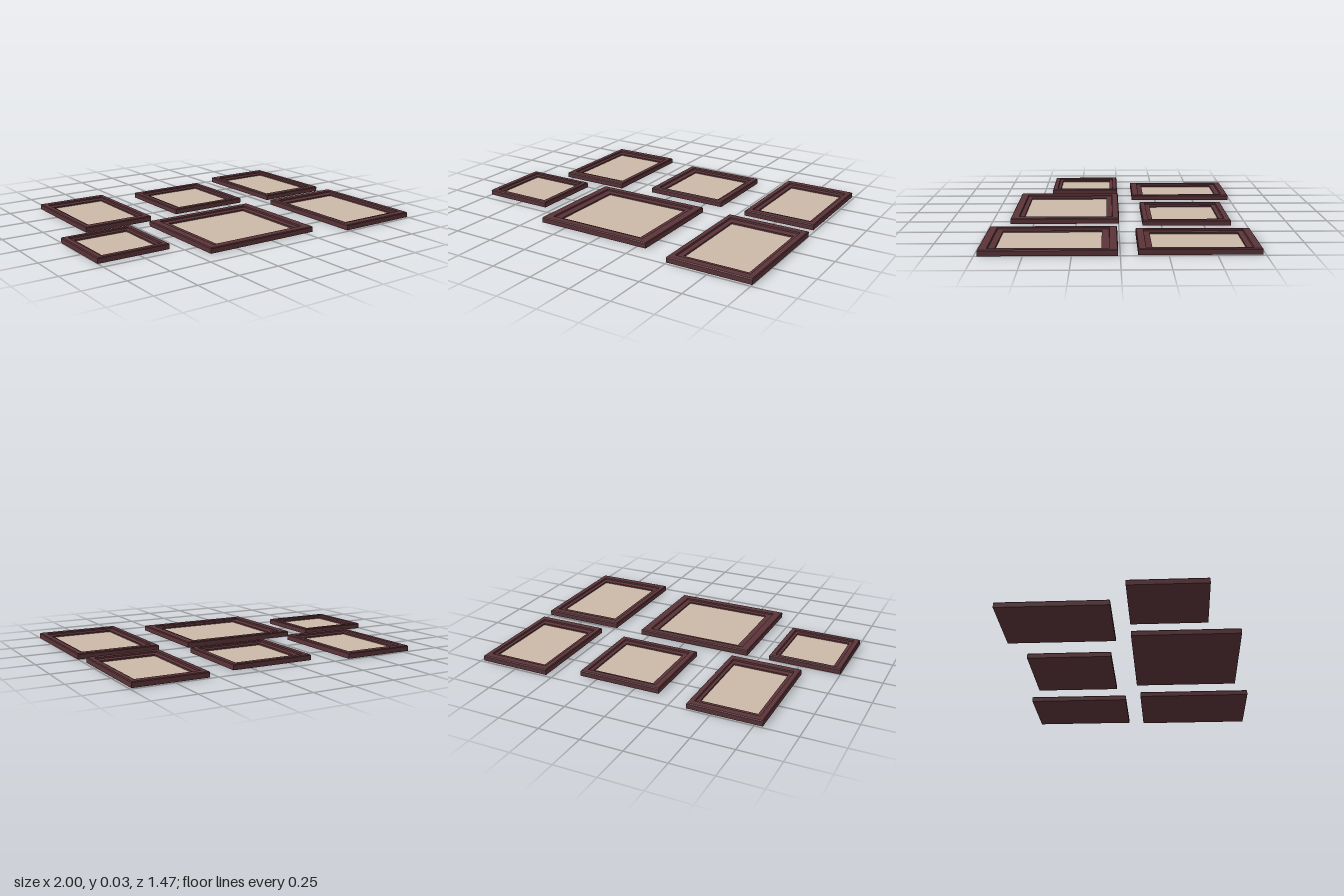
import * as THREE from 'three';

const WOOD = new THREE.MeshStandardMaterial({ color: 0x5a3338 });
const CANVAS = new THREE.MeshStandardMaterial({ color: 0xcbb8a8 });

// Each frame as rectangles [x0, x1, z0, z1]: outer edge, step line, picture opening
const FRAMES = [
  { name: 'backRightFrame', outer: [-0.795, -0.354, -0.737, -0.097], step: [-0.764, -0.385, -0.695, -0.141], inner: [-0.74, -0.404, -0.66, -0.174] },
  { name: 'backMiddleFrame', outer: [-0.147, 0.359, -0.657, -0.14], step: [-0.112, 0.327, -0.622, -0.172], inner: [-0.081, 0.304, -0.594, -0.2] },
  { name: 'backLeftFrame', outer: [0.545, 0.986, -0.735, -0.092], step: [0.576, 0.955, -0.692, -0.134], inner: [0.602, 0.935, -0.66, -0.168] },
  { name: 'frontRightFrame', outer: [-1, -0.56, 0, 0.44], step: [-0.968, -0.59, 0.028, 0.41], inner: [-0.944, -0.61, 0.05, 0.388] },
  { name: 'frontMiddleFrame', outer: [-0.42, 0.306, -0.004, 0.638], step: [-0.372, 0.256, 0.036, 0.591], inner: [-0.33, 0.222, 0.07, 0.563] },
  { name: 'frontLeftFrame', outer: [0.494, 1, 0.011, 0.733], step: [0.525, 0.966, 0.054, 0.687], inner: [0.556, 0.942, 0.097, 0.65] },
];

const inset = ([x0, x1, z0, z1], d) => [x0 + d, x1 - d, z0 + d, z1 - d];

// Corners counter-clockwise as seen from above
const ring = ([x0, x1, z0, z1], y) => [[x0, y, z1], [x1, y, z1], [x1, y, z0], [x0, y, z0]];

function quad(out, a, b, c, d) {
  out.push(...a, ...b, ...c, ...a, ...c, ...d);
}

function toMesh(points, material, name) {
  const g = new THREE.BufferGeometry();
  g.setAttribute('position', new THREE.Float32BufferAttribute(points, 3));
  g.computeVertexNormals();
  const mesh = new THREE.Mesh(g, material);
  mesh.name = name;
  return mesh;
}

// Moulding with flat back, bevelled rim, stepped ledge and recessed picture
function makeFrame({ name, outer, step, inner }) {
  const group = new THREE.Group();
  group.name = name;
  const rings = [
    ring(outer, 0),
    ring(outer, 0.028),
    ring(inset(outer, 0.004), 0.033),
    ring(step, 0.033),
    ring(inset(step, 0.002), 0.024),
    ring(inner, 0.021),
    ring(inner, 0.012),
  ];
  const wood = [];
  const [a, b, c, d] = rings[0];
  quad(wood, d, c, b, a);
  for (let r = 0; r < rings.length - 1; r++) {
    for (let i = 0; i < 4; i++) {
      const j = (i + 1) % 4;
      quad(wood, rings[r][i], rings[r][j], rings[r + 1][j], rings[r + 1][i]);
    }
  }
  const picture = [];
  quad(picture, ...rings[rings.length - 1]);
  group.add(toMesh(wood, WOOD, 'moulding'), toMesh(picture, CANVAS, 'picture'));
  return group;
}

export function createModel() {
  const model = new THREE.Group();
  model.name = 'pictureFrames';
  for (const f of FRAMES) model.add(makeFrame(f));
  return model;
}
